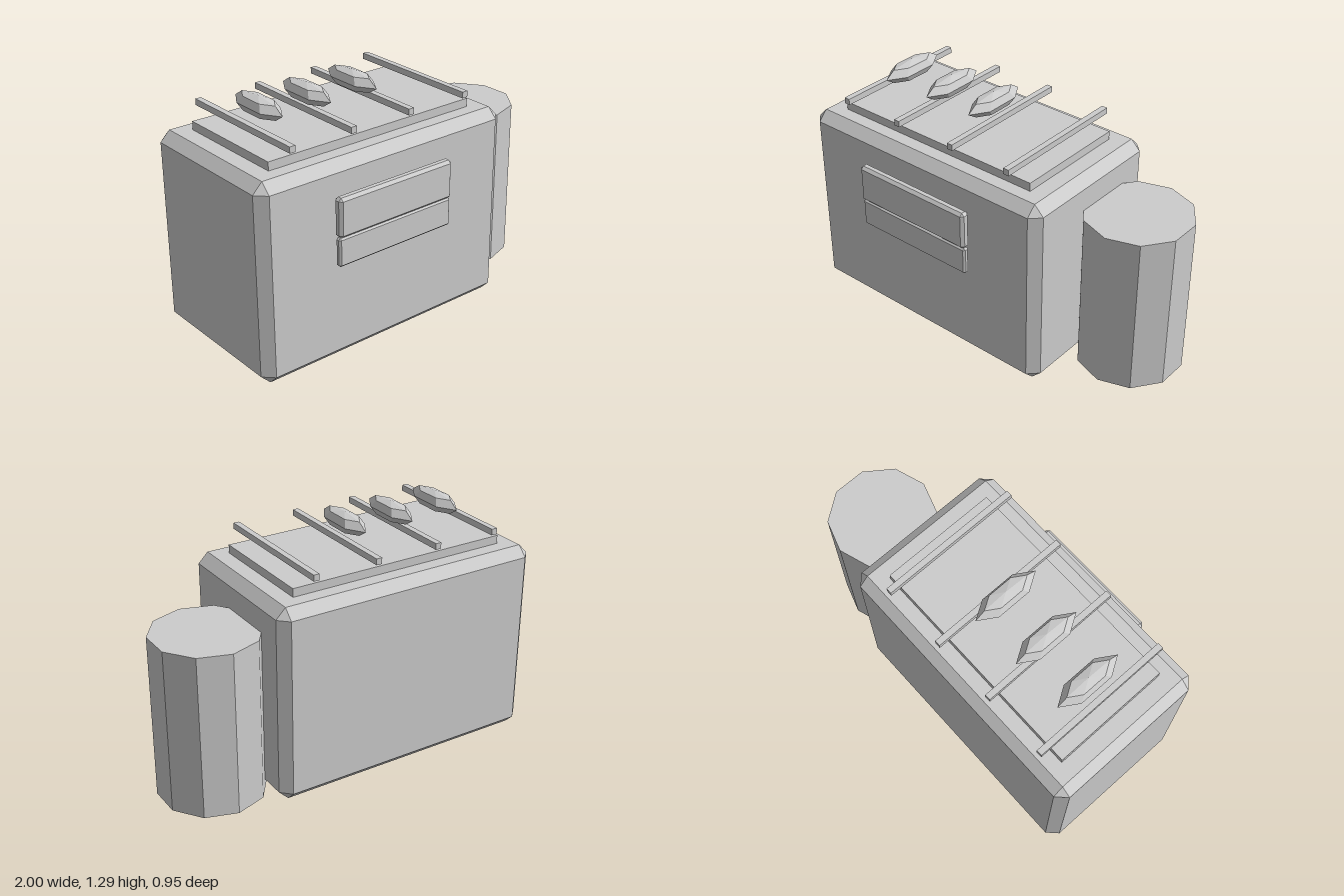
import * as THREE from 'three';
import { ConvexGeometry } from 'three/addons/geometries/ConvexGeometry.js';

export function createModel() {
  const model = new THREE.Group();
  model.name = 'model';
  const grey = new THREE.MeshStandardMaterial({ color: 0xcccccc, flatShading: true });
  grey.name = 'light grey';

  function add(name, geometry, x, y, z) {
    const mesh = new THREE.Mesh(geometry, grey);
    mesh.name = name;
    mesh.position.set(x, y, z);
    model.add(mesh);
    return mesh;
  }

  // Box given by its limits, with optional chamfered edges of width c
  function box(name, [x0, x1], [y0, y1], [z0, z1], c = 0) {
    const w = x1 - x0, h = y1 - y0, d = z1 - z0;
    let geometry = new THREE.BoxGeometry(w, h, d);
    if (c > 0) {
      const points = [];
      for (const sx of [-1, 1]) for (const sy of [-1, 1]) for (const sz of [-1, 1]) {
        const a = w / 2, b = h / 2, e = d / 2;
        points.push(
          new THREE.Vector3(sx * a, sy * (b - c), sz * (e - c)),
          new THREE.Vector3(sx * (a - c), sy * b, sz * (e - c)),
          new THREE.Vector3(sx * (a - c), sy * (b - c), sz * e));
      }
      geometry = new ConvexGeometry(points);
    }
    return add(name, geometry, (x0 + x1) / 2, (y0 + y1) / 2, (z0 + z1) / 2);
  }

  // Main body and the grill bed on top
  box('body', [-1, 0.514], [0, 1.06], [-0.474, 0.411], 0.053);
  box('grillBed', [-0.86, 0.375], [1.06, 1.105], [-0.346, 0.286]);

  // Two front panels
  box('upperFrontPanel', [-0.597, 0.108], [0.695, 0.902], [0.421, 0.474], 0.015);
  box('lowerFrontPanel', [-0.597, 0.108], [0.542, 0.695], [0.43, 0.465], 0.01);

  // Grill bars
  for (const x of [-0.776, -0.422, -0.067, 0.288]) {
    box('grillBar', [x - 0.016, x + 0.016], [1.151, 1.184], [-0.417, 0.36]);
  }

  // Faceted pieces of food lying across the bars
  const food = new THREE.SphereGeometry(1, 6, 4);
  food.rotateY(Math.PI / 2);
  food.scale(0.069, 0.052, 0.192);
  for (const x of [-0.684, -0.402, -0.119]) add('food', food, x, 1.238, -0.03);

  // Ten-sided barrel at the side
  add('barrel', new THREE.CylinderGeometry(0.283, 0.283, 0.884, 10), 0.73, 0.442, -0.12);

  return model;
}
